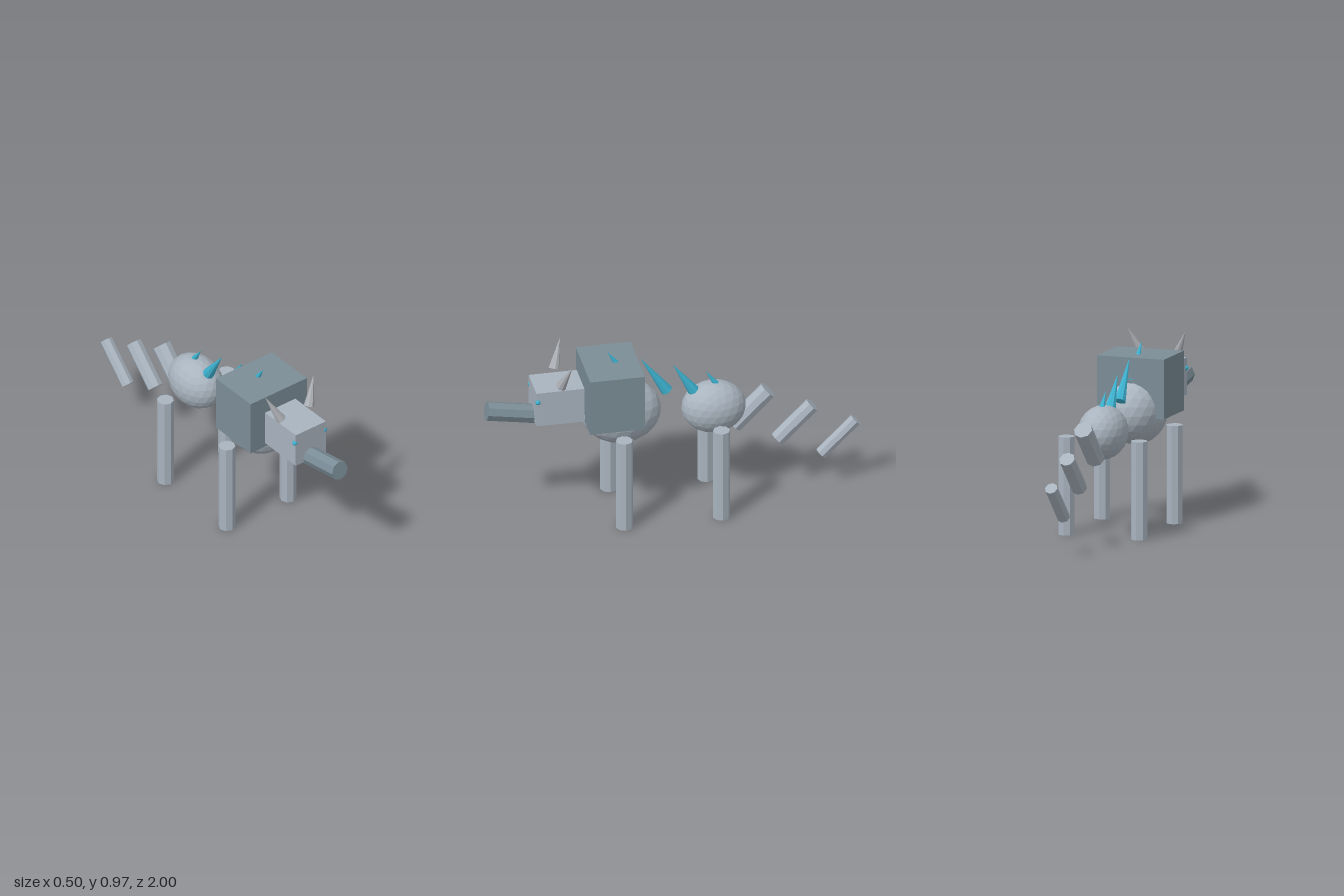
import * as THREE from 'three';

const mat = (name, color) => {
  const m = new THREE.MeshStandardMaterial({ color, flatShading: true });
  m.name = name;
  return m;
};

export function createModel() {
  const model = new THREE.Group();
  model.name = 'hornedBeast';
  const lightHide = mat('light hide', 0xa9b4bf);
  const darkHide = mat('dark hide', 0x7b8d97);
  const hornGrey = mat('horn grey', 0xabaeb3);
  const glow = mat('bright blue', 0x3cb1cf);
  const UP = new THREE.Vector3(0, 1, 0);

  const add = (name, geometry, material, x, y, z) => {
    const mesh = new THREE.Mesh(geometry, material);
    mesh.name = name;
    mesh.position.set(x, y, z);
    model.add(mesh);
    return mesh;
  };

  // Eight-sided rod or cone running from point a to point b
  const rod = (name, a, b, rA, rB, material) => {
    const from = new THREE.Vector3(...a), to = new THREE.Vector3(...b);
    const dir = to.clone().sub(from);
    const mid = from.clone().add(to).multiplyScalar(0.5);
    const mesh = add(name, new THREE.CylinderGeometry(rB, rA, dir.length(), 8), material, mid.x, mid.y, mid.z);
    mesh.quaternion.setFromUnitVectors(UP, dir.normalize());
    return mesh;
  };

  // Faceted egg-shaped body masses, with a vertex at the top
  const mass = (name, y, z, rx, ry, rz) => {
    const g = new THREE.IcosahedronGeometry(1, 3);
    g.rotateZ(-Math.atan(2 / (1 + Math.sqrt(5))));
    g.scale(rx, ry, rz);
    add(name, g, lightHide, 0, y, z);
  };
  mass('chest', 0.587, 0.277, 0.158, 0.178, 0.213);
  mass('hips', 0.553, -0.217, 0.128, 0.143, 0.171);

  // Shoulder block, head and snout
  add('shoulderBlock', new THREE.BoxGeometry(0.373, 0.316, 0.292), darkHide, 0, 0.723, 0.332);
  add('head', new THREE.BoxGeometry(0.2, 0.197, 0.256), lightHide, 0, 0.697, 0.619);
  rod('snout', [0, 0.615, 0.715], [0, 0.663, 0.992], 0.052, 0.052, darkHide);

  // Mirrored eyes, horns and legs
  for (const [side, s] of [['left', 1], ['right', -1]]) {
    add(side + 'Eye', new THREE.IcosahedronGeometry(0.014, 1), glow, s * 0.098, 0.741, 0.738);
    rod(side + 'Horn', [s * 0.094, 0.821, 0.614], [s * 0.161, 0.967, 0.567], 0.029, 0, hornGrey);
    rod(side + 'FrontLeg', [s * 0.203, 0, 0.3], [s * 0.203, 0.52, 0.3], 0.045, 0.045, lightHide);
    rod(side + 'HindLeg', [s * 0.203, 0, -0.217], [s * 0.203, 0.52, -0.217], 0.045, 0.045, lightHide);
  }

  // Floating tail segments, each tilted up toward the back
  [[0.522, -0.415, 0.05], [0.406, -0.65, 0.042], [0.29, -0.881, 0.034]].forEach(([y, z, r], i) => {
    const h = 0.092;
    rod('tailSegment' + (i + 1), [0, y - h, z + h], [0, y + h, z - h], r, r, lightHide);
  });

  // Back spikes: base y, z, tip y, z, base radius
  [
    [0.742, 0.217, 0.943, 0.347, 0.043],
    [0.676, 0.032, 0.883, 0.172, 0.032],
    [0.655, -0.113, 0.826, 0, 0.032],
    [0.672, -0.238, 0.765, -0.176, 0.02],
  ].forEach(([y0, z0, y1, z1, r], i) => {
    rod('backSpike' + (i + 1), [0, y0, z0], [0, y1, z1], r, 0, glow);
  });

  return model;
}
